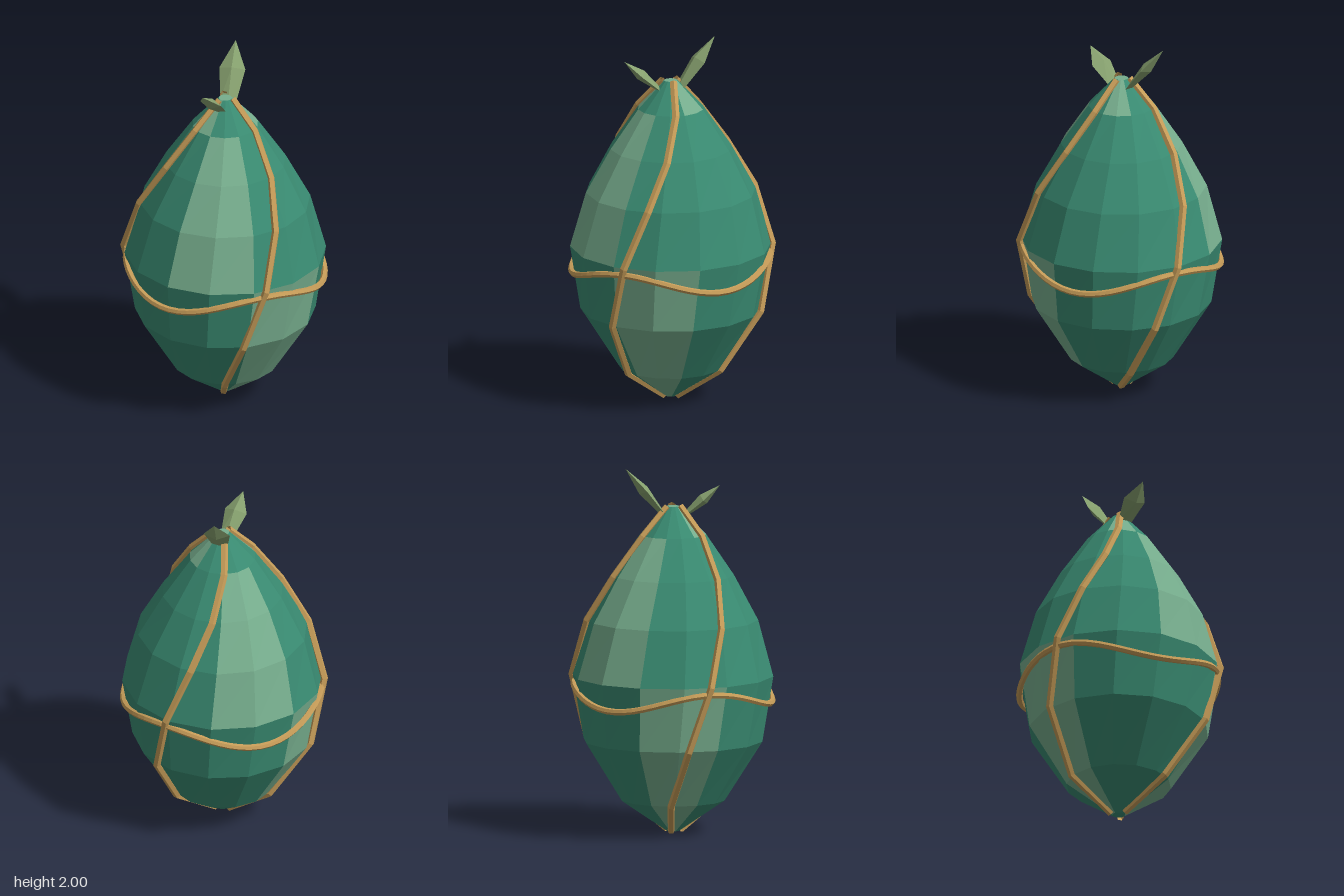
import * as THREE from 'three';

const DEG = Math.PI / 180;
const COLS = 14;
// Pod profile: [radius, height] from bottom to top
const RINGS = [[0.035, 0.008], [0.285, 0.18], [0.49, 0.505], [0.547, 0.86], [0.463, 1.165], [0.33, 1.41], [0.18, 1.63], [0.036, 1.785]];
// Columns of the pale patches in the lower, upper and cap bands
const PALE = [[0, 1, 8, 9], [6, 7, 12, 13], [2, 3, 10, 11]];

const mat = (name, color, side = THREE.FrontSide) => {
  const m = new THREE.MeshStandardMaterial({ color, flatShading: true, side });
  m.name = name;
  return m;
};

const polar = (r, az, y) => new THREE.Vector3(r * Math.sin(az), y, r * Math.cos(az));

function fromTriangles(points) {
  const g = new THREE.BufferGeometry().setFromPoints(points);
  g.computeVertexNormals();
  return g;
}

function mesh(name, geometry, material) {
  const m = new THREE.Mesh(geometry, material);
  m.name = name;
  return m;
}

// Slightly twisted faceted shell, limited to either the pale or the plain faces
function shell(pale) {
  const at = (i, j) => polar(RINGS[i][0], (j * 360 / COLS - 3 + 2.6 * (i - 3)) * DEG, RINGS[i][1]);
  const pts = [];
  const last = RINGS.length - 1;
  for (let i = 0; i < last; i++) {
    const band = i < 3 ? 0 : i < 6 ? 1 : 2;
    for (let j = 0; j < COLS; j++) {
      if (PALE[band].includes(j) !== pale) continue;
      const a = at(i, j), b = at(i, j + 1), c = at(i + 1, j + 1), d = at(i + 1, j);
      pts.push(a, b, c, a, c, d);
    }
  }
  // End discs: pale on top, plain below
  for (let j = 0; j < COLS; j++) {
    if (pale) pts.push(new THREE.Vector3(0, RINGS[last][1], 0), at(last, j), at(last, j + 1));
    else pts.push(new THREE.Vector3(0, RINGS[0][1], 0), at(0, j + 1), at(0, j));
  }
  return fromTriangles(pts);
}

// Curve that keeps its corner points
class Polyline extends THREE.Curve {
  constructor(points) {
    super();
    this.points = points;
  }
  getPoint(t, target = new THREE.Vector3()) {
    const n = this.points.length - 1;
    const f = Math.min(Math.max(t, 0), 1) * n;
    const i = Math.min(Math.floor(f), n - 1);
    return target.lerpVectors(this.points[i], this.points[i + 1], f - i);
  }
  getPointAt(u, target) { return this.getPoint(u, target); }
  getTangentAt(u, target) { return this.getTangent(u, target); }
}

// Climbing vine, turning 12 degrees from ring to ring
function vine(start) {
  const pts = RINGS.map(([r, y], i) => polar(r + 0.006, (start + 12 * (i - 3)) * DEG, Math.max(y, 0.014)));
  return new THREE.TubeGeometry(new Polyline(pts), pts.length - 1, 0.021, 5, false);
}

// Wavy belt with three crests, one at each vine
function belt() {
  const pts = [];
  for (let k = 0; k < 48; k++) {
    const az = k / 48 * Math.PI * 2;
    pts.push(polar(0.538, az, 0.77 + 0.05 * Math.cos(3 * (az - 4 * DEG))));
  }
  return new THREE.TubeGeometry(new THREE.CatmullRomCurve3(pts, true), 60, 0.018, 6, true);
}

// Leaf: diamond cross-sections from a blunt base to a pointed tip
function leaf(base, tip, width) {
  const dir = tip.clone().sub(base);
  const side = new THREE.Vector3(dir.z, 0, -dir.x).normalize();
  const up = dir.clone().cross(side).normalize();
  const section = (t, w, h) => [[1, 0], [0, 1], [-1, 0], [0, -1]].map(([a, b]) =>
    base.clone().addScaledVector(dir, t).addScaledVector(side, a * w).addScaledVector(up, b * h));
  const loops = [section(0, width * 0.62, 0.012), section(0.52, width, 0.03), section(1, 0, 0)];
  const pts = [];
  for (let k = 0; k < 4; k++) {
    const n = (k + 1) % 4;
    pts.push(loops[0][k], loops[0][n], loops[1][n], loops[0][k], loops[1][n], loops[1][k]);
    pts.push(loops[1][k], loops[1][n], loops[2][0]);
  }
  pts.push(loops[0][0], loops[0][2], loops[0][1], loops[0][0], loops[0][3], loops[0][2]);
  return fromTriangles(pts);
}

export function createModel() {
  const group = new THREE.Group();
  group.name = 'pod';
  const green = mat('podGreen', 0x398a71);
  const pale = mat('paleGreen', 0x76ad8d);
  const tan = mat('vineTan', 0xc69c58, THREE.DoubleSide);
  const leafGreen = mat('leafGreen', 0x86a06e, THREE.DoubleSide);

  group.add(mesh('podShell', shell(false), green));
  group.add(mesh('palePatches', shell(true), pale));

  // Vines and belt
  for (const start of [4, 124, 244]) group.add(mesh('vine', vine(start), tan));
  group.add(mesh('wavyBelt', belt(), tan));

  // Two leaves at the crown
  const V = (x, y, z) => new THREE.Vector3(x, y, z);
  group.add(mesh('tallLeaf', leaf(V(0.035, 1.745, -0.045), V(0.142, 2.0, -0.228), 0.072), leafGreen));
  group.add(mesh('shortLeaf', leaf(V(-0.05, 1.74, 0.045), V(-0.19, 1.9, 0.17), 0.065), leafGreen));
  return group;
}
